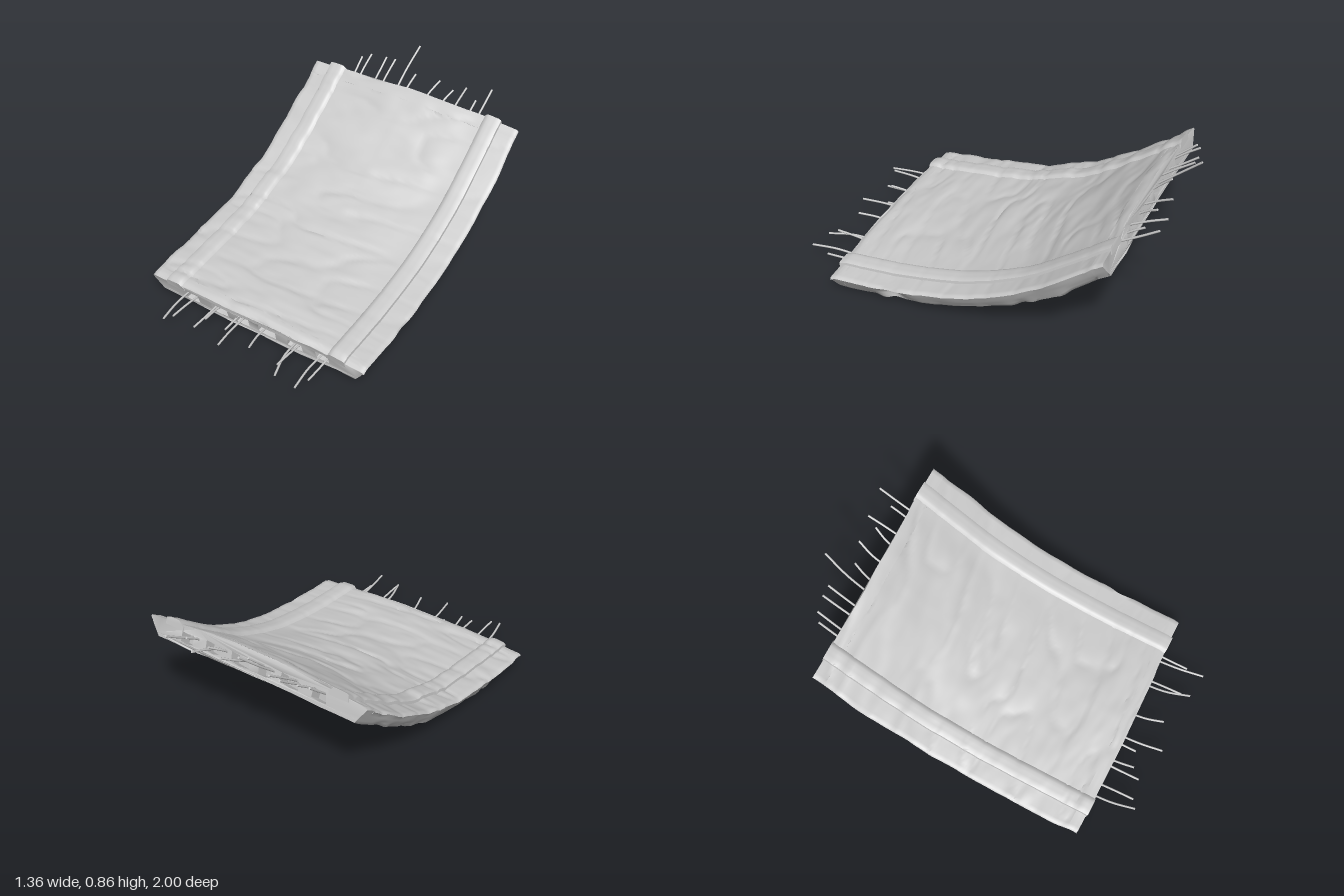
import * as THREE from 'three';
import { mergeVertices, toCreasedNormals } from 'three/addons/utils/BufferGeometryUtils.js';

// Smooth seeded value noise, -1..1
const hash = (i, j) => {
  const s = Math.sin(i * 127.1 + j * 311.7 + 7.3) * 43758.5453;
  return (s - Math.floor(s)) * 2 - 1;
};
const ease = (f) => f * f * (3 - 2 * f);
function noise(x, z) {
  const i = Math.floor(x), j = Math.floor(z), u = ease(x - i), v = ease(z - j);
  const a = hash(i, j) * (1 - u) + hash(i + 1, j) * u;
  const b = hash(i, j + 1) * (1 - u) + hash(i + 1, j + 1) * u;
  return a * (1 - v) + b * v;
}
const bump = (v, centre, width) => Math.exp(-(((v - centre) / width) ** 2));

// Height of the underside for z = -1 .. 1 in even steps
const underside = new THREE.SplineCurve(
  [0.74, 0.583, 0.43, 0.293, 0.19, 0.118, 0.072, 0.042, 0.023, 0.009, 0].map((y, i) => new THREE.Vector2(i * 0.2 - 1, y)));
const baseY = (z) => underside.getPoint(THREE.MathUtils.clamp((z + 1) / 2, 0, 1)).y;
const back = -0.8, front = 0.73;

// Bends a straight extrusion (x, thickness, z) along the road and roughens its skin
function bend(geometry, rough) {
  const p = geometry.attributes.position;
  for (let i = 0; i < p.count; i++) {
    let x = p.getX(i), t = p.getY(i);
    const z = p.getZ(i);
    const zz = z + 0.03 * noise(x * 2.3 + 9, z * 6);
    if (t > 0.082) {
      // wrinkles run across the road, ending in sharp cracks; the left side is smoother
      const amount = rough * (1 - 0.6 * THREE.MathUtils.smoothstep(x, 0.2, 0.5));
      const ridge = Math.abs(noise(x * 2.2 + 20, zz * 12 + x));
      t += amount * (0.006 * noise(x * 3, zz * 8) + 0.003 * noise(x * 10, zz * 26) - 0.01 * (1 - ridge) ** 5);
      // worn edges at the broken ends
      t -= 0.012 * bump(z, front, 0.022) + 0.005 * bump(z, back, 0.02);
    } else if (t < 0.02) {
      const patch = bump(z, 0.4, 0.15) + bump(z, -0.5, 0.17);
      t += rough * (0.006 * noise(x * 4 + 50, zz * 8) + (0.003 + 0.011 * patch) * noise(x * 8, zz * 18 + 40));
    }
    if (Math.abs(x) > 0.6) {
      x += Math.sign(x) * 0.007 * noise(x > 0 ? 3 : 30, z * 7);
      // chipped flank
      if (x > 0) x -= 0.04 * bump(z, 0.38, 0.06) * bump(t, 0.05, 0.03);
    }
    x *= 1 + 0.008 * z;
    t *= 1 - 0.07 * z;
    p.setXYZ(i, x, baseY(z) + t, z + 0.23 * t + 0.007 * noise(x * 7 + 5, 2));
  }
  geometry.deleteAttribute('uv');
  geometry.deleteAttribute('normal');
  return toCreasedNormals(mergeVertices(geometry, 1e-5), 0.95);
}

function sweep(shape, z0, z1, steps, rough) {
  const g = new THREE.ExtrudeGeometry(shape, { depth: z1 - z0, steps, bevelEnabled: false });
  g.translate(0, 0, z0);
  return bend(g, rough);
}

// Closed outline with its long edges split into short pieces
function outline(corners, step) {
  const pts = [];
  corners.forEach(([x, y], i) => {
    const [nx, ny] = corners[(i + 1) % corners.length];
    const n = Math.max(1, Math.round(Math.hypot(nx - x, ny - y) / step));
    for (let k = 0; k < n; k++) pts.push(new THREE.Vector2(x + (nx - x) * k / n, y + (ny - y) * k / n));
  });
  return pts;
}

const slabCorners = [
  [-0.615, 0], [0.615, 0], [0.655, 0.055], [0.676, 0.09], [0.667, 0.1], [0.56, 0.106], [0.47, 0.115],
  [0.25, 0.126], [0, 0.133], [-0.25, 0.126], [-0.47, 0.115], [-0.56, 0.105], [-0.667, 0.1], [-0.676, 0.09], [-0.655, 0.055],
];
const pockets = [[-0.398, 0.085], [-0.22, 0.11], [-0.068, 0.078], [0.085, 0.112], [0.262, 0.095], [0.42, 0.08]];

function slabShape(withPockets) {
  const shape = new THREE.Shape(outline(slabCorners, 0.022));
  if (withPockets) pockets.forEach(([x, w], i) => {
    const j = (k) => 0.005 * hash(i, k), h = w / 2;
    shape.holes.push(new THREE.Path([
      [x - h + j(1), 0.03 + j(2)], [x + j(3), 0.024], [x + h + j(4), 0.03 + j(5)],
      [x + h - 0.004 + j(6), 0.081], [x + j(7), 0.077], [x - h + 0.004 + j(8), 0.08],
    ].map(([a, b]) => new THREE.Vector2(a, b))));
  });
  return shape;
}

// Rebar: start x, tip x, tip y, tip z
const frontBars = [
  [-0.44, -0.41, 0.075, 0.97], [-0.37, -0.37, 0.09, 0.94], [-0.25, -0.25, 0.06, 0.92], [-0.22, -0.21, 0.1, 0.87],
  [-0.11, -0.11, 0.055, 0.84], [-0.07, -0.05, 0.08, 0.97], [0.07, 0.1, 0.095, 0.91], [0.26, 0.31, 0.072, 0.98],
  [0.29, 0.29, 0.095, 0.93], [0.42, 0.445, 0.08, 1.0], [0.455, 0.455, 0.055, 0.9],
];
const backBars = [
  [-0.41, -0.41, 0.745, -0.88], [-0.37, -0.365, 0.76, -0.91], [-0.275, -0.275, 0.76, -0.93], [-0.22, -0.215, 0.765, -0.93],
  [-0.12, -0.095, 0.858, -1.0], [-0.06, -0.04, 0.755, -0.87], [0.06, 0.09, 0.73, -0.92], [0.17, 0.2, 0.725, -0.88],
  [0.245, 0.245, 0.72, -0.95], [0.35, 0.35, 0.715, -0.87], [0.4, 0.4, 0.757, -0.96],
];

export function createModel() {
  const model = new THREE.Group();
  model.name = 'brokenRoadSection';
  const material = new THREE.MeshStandardMaterial({ color: 0xcccccc });
  const add = (geometry, name, parent = model) => {
    const mesh = new THREE.Mesh(geometry, material);
    mesh.name = name;
    parent.add(mesh);
    return mesh;
  };

  // Concrete slab, solid in the middle with open pockets at both broken ends
  const pocketDepth = 0.06;
  add(sweep(slabShape(false), back + pocketDepth, front - pocketDepth, 100, 1), 'roadSlab');
  add(sweep(slabShape(true), front - pocketDepth, front, 6, 1), 'frontBrokenEnd');
  add(sweep(slabShape(true), back, back + pocketDepth, 6, 1), 'backBrokenEnd');

  // Low kerbs between the roadway and the shoulders, ramped on the inside
  for (const [name, s, rough] of [['leftKerb', 1, 0.7], ['rightKerb', -1, 1]]) {
    const corners = [[0.567, 0.085], [0.563, 0.12], [0.55, 0.126], [0.49, 0.13], [0.476, 0.127], [0.45, 0.105], [0.45, 0.085]];
    const shape = new THREE.Shape(outline(corners.map(([x, y]) => [s * x, y]), 0.02));
    add(sweep(shape, back - 0.004, front + 0.004, 90, rough), name);
  }

  // Reinforcing bars sticking out of both ends
  const addBars = (bars, name, y0, z0) => {
    const group = new THREE.Group();
    group.name = name;
    bars.forEach(([x0, x1, y1, z1], i) => {
      const start = new THREE.Vector3(x0, y0, z0), tip = new THREE.Vector3(x1, y1, z1);
      const mid = start.clone().lerp(tip, 0.55);
      mid.x -= (x1 - x0) * 0.35;
      mid.y += 0.006 * hash(i, 77);
      const curve = new THREE.CatmullRomCurve3([start, mid, tip]);
      add(new THREE.TubeGeometry(curve, 8, 0.006, 6), 'bar', group);
      const cap = add(new THREE.CircleGeometry(0.006, 6), 'barTip', group);
      cap.position.copy(tip);
      cap.lookAt(tip.clone().add(curve.getTangent(1)));
    });
    model.add(group);
  };
  addBars(frontBars, 'frontRebar', 0.072, 0.68);
  addBars(backBars, 'backRebar', 0.615, -0.73);

  // Rest on the ground, centred
  const box = new THREE.Box3().setFromObject(model);
  const c = box.getCenter(new THREE.Vector3());
  model.children.forEach((child) => child.position.set(-c.x, -box.min.y, -c.z));
  return model;
}
